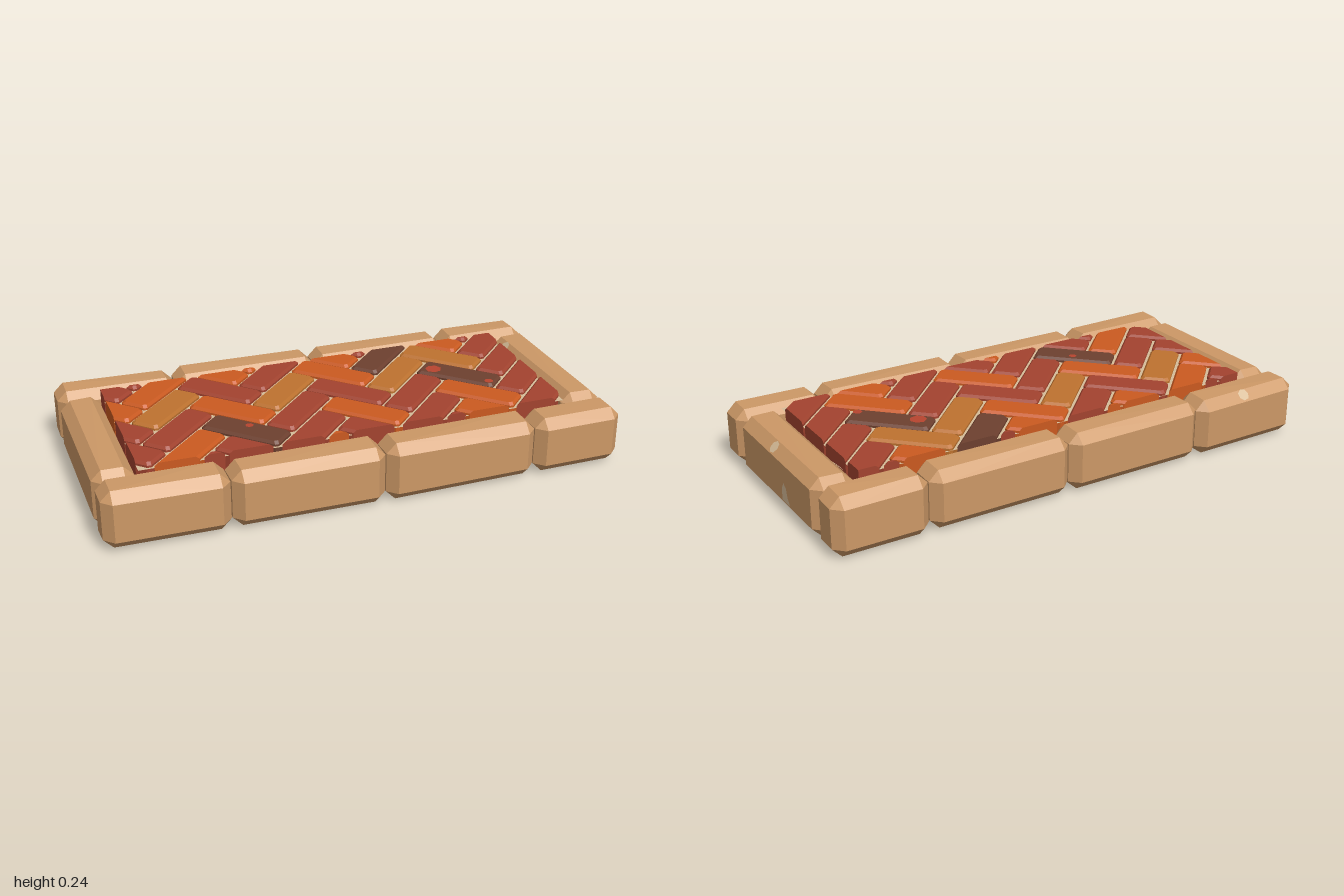
import * as THREE from 'three';
import { ConvexGeometry } from 'three/addons/geometries/ConvexGeometry.js';

function material(name, color) {
  const m = new THREE.MeshStandardMaterial({ color });
  m.name = name;
  return m;
}

function seeded(seed) {
  let s = seed;
  return () => (s = (s * 16807) % 2147483647) / 2147483647;
}

// Box with chamfered edges and slightly uneven, hand-cut corners
function chamferBox(w, h, d, c, wobble = 0, rnd = () => 0) {
  const pts = [];
  for (const sx of [-1, 1]) for (const sy of [-1, 1]) for (const sz of [-1, 1]) {
    const x = w / 2, y = h / 2 - rnd() * wobble, z = d / 2;
    pts.push(
      new THREE.Vector3(sx * x, sy * (y - c), sz * (z - c)),
      new THREE.Vector3(sx * (x - c), sy * y, sz * (z - c)),
      new THREE.Vector3(sx * (x - c), sy * (y - c), sz * z));
  }
  return new ConvexGeometry(pts);
}

// Cut a convex polygon of [x, z] points to the paved rectangle
const PAVED = { x0: -0.837, x1: 0.832, z0: -0.335, z1: 0.33 };
function clip(poly) {
  const sides = [[0, 1, PAVED.x0], [0, -1, PAVED.x1], [1, 1, PAVED.z0], [1, -1, PAVED.z1]];
  for (const [axis, sign, limit] of sides) {
    const out = [];
    poly.forEach((a, i) => {
      const b = poly[(i + 1) % poly.length];
      const da = (a[axis] - limit) * sign, db = (b[axis] - limit) * sign;
      if (da >= 0) out.push(a);
      if (da * db < 0) {
        const t = da / (da - db);
        out.push([a[0] + (b[0] - a[0]) * t, a[1] + (b[1] - a[1]) * t]);
      }
    });
    poly = out;
  }
  return poly;
}

function area(poly) {
  return Math.abs(poly.reduce((sum, a, i) => {
    const b = poly[(i + 1) % poly.length];
    return sum + a[0] * b[1] - b[0] * a[1];
  }, 0)) / 2;
}

// Rectangle with cut corners turned 45 degrees; dir 1 runs towards +x +z, -1 towards +x -z
function diagonal(cx, cz, length, width, dir) {
  const k = Math.SQRT1_2, l = length / 2, w = width / 2, c = 0.011;
  return [[c - l, -w], [l - c, -w], [l, c - w], [l, w - c], [l - c, w], [c - l, w], [-l, w - c], [-l, c - w]]
    .map(([s, t]) => [cx + (s - t * dir) * k, cz + (s * dir + t) * k]);
}

export function createModel() {
  const root = new THREE.Group();
  root.name = 'pavingPanel';
  const stone = material('tan stone', 0xcc9866);
  const chip = material('pale chip', 0xd8bd98);
  const mortar = material('mortar', 0xd6bd9a);
  mortar.side = THREE.DoubleSide;
  const bricks = {
    r: material('red brick', 0xa3432f),
    o: material('orange brick', 0xcb5a20),
    b: material('ochre brick', 0xbe722f),
    d: material('dark brick', 0x6e402f),
  };
  const spot = material('brick spot', 0xb8452f);
  const rnd = seeded(7);

  const add = (parent, name, geo, mat, x = 0, y = 0, z = 0) => {
    const mesh = new THREE.Mesh(geo, mat);
    mesh.name = name;
    mesh.position.set(x, y, z);
    parent.add(mesh);
    return mesh;
  };

  // Stone border
  const border = new THREE.Group();
  border.name = 'stoneBorder';
  root.add(border);
  const addStone = (name, x0, x1, z0, z1) =>
    add(border, name, chamferBox(x1 - x0, 0.234, z1 - z0, 0.037, 0.01, rnd), stone,
      (x0 + x1) / 2, 0.119, (z0 + z1) / 2);
  const rows = [
    ['frontStone', [-1, -0.537, 0.045, 0.645, 1], 0.336, 0.4975],
    ['backStone', [-1, -0.524, 0.06, 0.634, 1], -0.4975, -0.34],
  ];
  for (const [name, xs, z0, z1] of rows)
    for (let i = 0; i < 4; i++) addStone(name, xs[i], xs[i + 1] - (i < 3 ? 0.004 : 0), z0, z1);
  addStone('rightEndStone', -1, -0.845, -0.338, 0.333);
  addStone('leftEndStone', 0.84, 1, -0.338, 0.335);

  // Pale chip on the outer face of the end stone
  const chipShape = new THREE.Shape([[0.05, 0.05], [0.12, 0.05], [0.1, 0.075], [0.09, 0.11],
    [0.07, 0.122], [0.055, 0.1]].map(p => new THREE.Vector2(...p)));
  add(border, 'stoneChip', new THREE.ShapeGeometry(chipShape), chip, 1.001, 0, 0).rotation.y = Math.PI / 2;

  // Small chips lying on the stone chamfers: position, then outward direction
  const chamferChips = [
    [[0.983, 0.217, 0.035], [1, 1, 0]],
    [[0.983, 0.021, 0.035], [1, -1, 0]],
    [[0.857, 0.217, -0.225], [-1, 1, 0]],
    [[-0.745, 0.217, -0.4805], [0, 1, -1]],
  ];
  for (const [at, out] of chamferChips) {
    const plate = add(border, 'stoneChip', new THREE.CircleGeometry(0.024, 7), chip, ...at);
    plate.lookAt(...at.map((v, i) => v + out[i]));
  }

  // Mortar bed, seen between the bricks
  const bed = new THREE.PlaneGeometry(PAVED.x1 - PAVED.x0, PAVED.z1 - PAVED.z0).rotateX(-Math.PI / 2);
  add(root, 'mortarBed', bed, mortar, -0.0025, 0.222, -0.0025);

  // Herringbone bricks: columns of alternating direction, colours from back to front
  const paving = new THREE.Group();
  paving.name = 'herringbonePaving';
  root.add(paving);
  const PITCH_X = 0.235, PITCH_Z = 0.181, LENGTH = 0.32, WIDTH = 0.115, BEVEL = 0.009;
  const columns = ['rrorr', 'robror', 'oorodr', 'orbrro', 'oooror', 'rdbrrr', 'oobdoo', 'rrrrr'];
  columns.forEach((colours, i) => {
    const dir = i % 2 ? -1 : 1;
    const cx = -0.867 + i * PITCH_X;
    // Rows of the odd columns sit half a pitch nearer the front
    [...colours].forEach((key, j) => {
      const cz = (dir === 1 ? -0.549 : -0.459) + j * PITCH_Z;
      const outer = clip(diagonal(cx, cz, LENGTH, WIDTH, dir));
      if (outer.length < 3 || area(outer) < 0.0003) return;
      const inner = clip(diagonal(cx, cz, LENGTH - 2 * BEVEL, WIDTH - 2 * BEVEL, dir));
      const pts = [
        ...outer.map(p => new THREE.Vector3(p[0], 0.13, p[1])),
        ...outer.map(p => new THREE.Vector3(p[0], 0.23, p[1])),
        ...inner.map(p => new THREE.Vector3(p[0], 0.24, p[1])),
      ];
      add(paving, 'brick', new ConvexGeometry(pts), bricks[key]);
    });
  });

  // Small worn spots on the dark bricks
  for (const [x, z, r] of [[0.46, -0.07, 0.033], [0.62, 0.108, 0.018], [-0.38, 0.16, 0.016]])
    add(paving, 'brickSpot', new THREE.CircleGeometry(r, 7).rotateX(-Math.PI / 2), spot, x, 0.2415, z);

  // Long dark support beam underneath, with red end blocks
  const beam = new THREE.Group();
  beam.name = 'supportBeam';
  beam.position.set(0, 0.07, -0.005);
  root.add(beam);
  add(beam, 'beamBody', new THREE.BoxGeometry(1.5, 0.11, 0.11), bricks.d);
  for (const side of [-1, 1])
    add(beam, 'beamEnd', chamferBox(0.13, 0.11, 0.11, 0.016), bricks.r, side * 0.765, 0, 0);
  return root;
}
